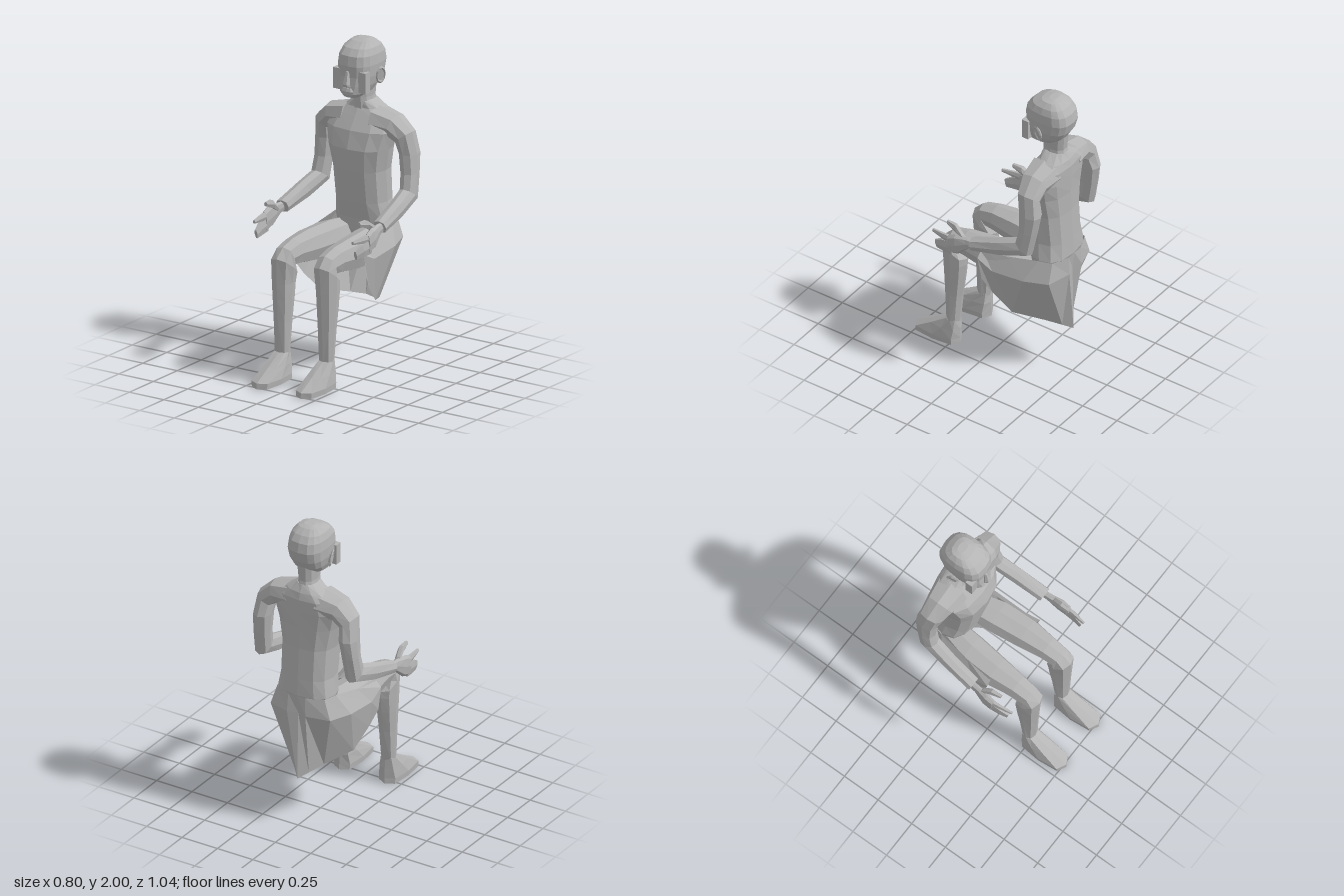
import * as THREE from 'three';

const rad = THREE.MathUtils.degToRad;
const skin = new THREE.MeshStandardMaterial({ color: 0xb4b4b4, side: THREE.DoubleSide });
skin.name = 'plain grey';

function part(name, geometry) {
  const flat = geometry.index ? geometry.toNonIndexed() : geometry;
  flat.computeVertexNormals();
  const mesh = new THREE.Mesh(flat, skin);
  mesh.name = name;
  return mesh;
}

// Joins rows of points into a faceted surface; closed rows form a capped solid
function sheet(rows, closed) {
  const n = rows[0].length, tris = [];
  for (let i = 0; i < rows.length - 1; i++) {
    for (let j = 0; j < (closed ? n : n - 1); j++) {
      const k = (j + 1) % n;
      const a = rows[i][j], b = rows[i][k], c = rows[i + 1][k], d = rows[i + 1][j];
      tris.push([a, b, c], [a, c, d]);
    }
  }
  if (closed) {
    const first = rows[0], last = rows[rows.length - 1];
    for (let j = 1; j < n - 1; j++) {
      tris.push([first[0], first[j + 1], first[j]], [last[0], last[j], last[j + 1]]);
    }
    // Turn the solid outward if its signed volume is negative
    const volume = tris.reduce((s, [a, b, c]) => s + a.dot(b.clone().cross(c)), 0);
    if (volume < 0) tris.forEach(t => t.reverse());
  }
  return new THREE.BufferGeometry().setFromPoints(tris.flat());
}

// Rings: [x, y, z, radius u, radius v, roll of u in xy, pitch of v in yz]
function limb(rings, n = 8, power = 0.85) {
  const soft = v => Math.sign(v) * Math.abs(v) ** power;
  return sheet(rings.map(([x, y, z, ru, rv, s = 0, t = 0]) => {
    const u = new THREE.Vector3(Math.cos(rad(s)), Math.sin(rad(s)), 0);
    const v = new THREE.Vector3(0, Math.sin(rad(t)), Math.cos(rad(t)));
    return Array.from({ length: n }, (_, j) => {
      const a = (j / n) * Math.PI * 2;
      return new THREE.Vector3(x, y, z)
        .addScaledVector(u, ru * soft(Math.cos(a)))
        .addScaledVector(v, rv * soft(Math.sin(a)));
    });
  }), true);
}

// Level rings on the centre line: [y, half width, front z, back z]
const body = (rings, n, power) =>
  limb(rings.map(([y, w, f, b]) => [0, y, (f + b) / 2, w, (f - b) / 2]), n, power);

// Palm, thumb, forefinger and the closed lower fingers
function buildHand() {
  const hand = new THREE.Group();
  hand.name = 'hand';
  hand.add(part('palm', limb([
    [0.358, 0.965, -0.04, 0.02, 0.03, 0, 75],
    [0.362, 0.958, 0.01, 0.021, 0.038, 0, 75],
    [0.372, 0.925, 0.08, 0.026, 0.068, 0, 80],
    [0.374, 0.905, 0.135, 0.022, 0.065, 0, 85],
  ])));
  hand.add(part('thumb', limb([
    [0.358, 0.968, 0.03, 0.02, 0.038, 0, 60],
    [0.343, 1.012, 0.095, 0.021, 0.035, 0, 70],
    [0.338, 1.031, 0.17, 0.012, 0.014, 0, 90],
  ], 6)));
  hand.add(part('forefinger', limb([
    [0.374, 0.94, 0.11, 0.018, 0.03, 0, 90],
    [0.368, 0.94, 0.18, 0.014, 0.022, 0, 90],
    [0.357, 0.942, 0.264, 0.009, 0.011, 0, 90],
  ], 6)));
  hand.add(part('lowerFingers', limb([
    [0.374, 0.888, 0.11, 0.02, 0.052, 0, 85],
    [0.37, 0.875, 0.18, 0.017, 0.046, 0, 75],
    [0.36, 0.857, 0.238, 0.011, 0.03, 0, 75],
  ], 6)));
  return hand;
}

// Parts that exist once on each side
function buildSide() {
  const side = new THREE.Group();
  side.add(part('arm', limb([
    [0.1, 1.5, -0.375, 0.09, 0.112, 90],
    [0.22, 1.485, -0.375, 0.072, 0.09, 72],
    [0.288, 1.425, -0.385, 0.063, 0.074, 38],
    [0.303, 1.32, -0.408, 0.055, 0.072],
    [0.312, 1.2, -0.4, 0.052, 0.06],
    [0.32, 1.075, -0.375, 0.05, 0.068, 0, 36],
    [0.337, 1.02, -0.22, 0.048, 0.056, 0, 70],
    [0.353, 0.965, -0.025, 0.046, 0.04, 0, 75],
  ])));
  side.add(buildHand());
  side.add(part('leg', limb([
    [0.1, 0.78, -0.4, 0.08, 0.08, 0, 90],
    [0.135, 0.766, -0.2, 0.106, 0.103, 0, 90],
    [0.15, 0.764, 0, 0.096, 0.1, 0, 90],
    [0.151, 0.768, 0.15, 0.075, 0.082, 0, 85],
    [0.152, 0.757, 0.232, 0.067, 0.07, 0, 67],
    [0.155, 0.7, 0.24, 0.073, 0.1, 0, 37],
    [0.16, 0.6, 0.237, 0.064, 0.076],
    [0.16, 0.5, 0.239, 0.06, 0.068],
    [0.16, 0.36, 0.245, 0.053, 0.055],
    [0.16, 0.14, 0.252, 0.046, 0.038],
  ])));
  side.add(part('foot', limb([
    [0.16, 0, 0.362, 0.068, 0.16],
    [0.16, 0.035, 0.362, 0.071, 0.158],
    [0.16, 0.1, 0.306, 0.06, 0.1],
    [0.16, 0.17, 0.252, 0.046, 0.038],
  ], 8, 0.6)));
  // Ear: a thin shell with a raised rim, tilted slightly away from the skull
  const ear = new THREE.Group();
  ear.name = 'ear';
  ear.add(
    part('earShell', new THREE.CylinderGeometry(0.03, 0.022, 0.014, 8).rotateZ(-Math.PI / 2)),
    part('earRim', new THREE.TorusGeometry(0.03, 0.007, 4, 10).rotateY(Math.PI / 2).translate(0.006, 0, 0)),
  );
  ear.scale.set(1, 1.6, 1);
  ear.position.set(0.132, 1.795, -0.347);
  ear.rotation.set(0.15, -0.35, -0.12);
  side.add(ear);
  side.add(part('eyeBlock', new THREE.BoxGeometry(0.056, 0.13, 0.047).translate(0.09, 1.765, -0.237)));
  return side;
}

export function createModel() {
  const model = new THREE.Group();
  model.name = 'seatedFigure';

  model.add(part('torso', body([
    [0.73, 0.06, -0.29, -0.46], [0.82, 0.17, -0.27, -0.49], [0.89, 0.188, -0.262, -0.512],
    [1.0, 0.17, -0.237, -0.505], [1.2, 0.173, -0.208, -0.492], [1.34, 0.2, -0.19, -0.49],
    [1.45, 0.23, -0.222, -0.492], [1.53, 0.195, -0.275, -0.492], [1.575, 0.13, -0.305, -0.48],
    [1.62, 0.06, -0.31, -0.455],
  ], 12, 0.8)));
  model.add(part('neck', body([
    [1.56, 0.065, -0.3, -0.47], [1.64, 0.055, -0.3, -0.45], [1.75, 0.062, -0.3, -0.46],
  ], 10)));
  model.add(part('head', body([
    [1.665, 0.05, -0.2, -0.32], [1.69, 0.08, -0.187, -0.4], [1.735, 0.1, -0.192, -0.455],
    [1.79, 0.113, -0.2, -0.487], [1.86, 0.118, -0.194, -0.506], [1.92, 0.113, -0.205, -0.494],
    [1.96, 0.098, -0.24, -0.465], [1.99, 0.07, -0.3, -0.425], [2.0, 0.035, -0.345, -0.395],
  ], 16, 0.72)));
  // Wedge nose and slightly raised mouth
  model.add(part('nose', limb([
    [0, 1.735, -0.19, 0.026, 0.018], [0, 1.752, -0.187, 0.024, 0.023], [0, 1.83, -0.198, 0.01, 0.01],
  ], 6)));
  model.add(part('mouth', limb([
    [0, 1.685, -0.195, 0.035, 0.012], [0, 1.706, -0.193, 0.045, 0.014], [0, 1.726, -0.197, 0.03, 0.01],
  ], 8)));

  // Open skirt from the thighs around the hips: waist, hip and hem, with a narrow back panel
  const halves = [
    [[0.215, 0.83, 0.008], [0.212, 0.845, -0.18], [0.193, 0.89, -0.386], [0.167, 0.89, -0.47], [0.06, 0.89, -0.516], [0, 0.89, -0.514]],
    [[0.262, 0.78, 0.008], [0.264, 0.73, -0.1], [0.26, 0.75, -0.32], [0.21, 0.76, -0.475], [0.065, 0.77, -0.522], [0, 0.77, -0.5]],
    [[0.26, 0.64, -0.02], [0.235, 0.55, -0.08], [0.2, 0.43, -0.2], [0.1, 0.383, -0.37], [0.05, 0.355, -0.46], [0, 0.32, -0.508]],
  ];
  const rows = halves.map(half => [
    ...half.map(([x, y, z]) => new THREE.Vector3(x, y, z)),
    ...half.slice(0, -1).reverse().map(([x, y, z]) => new THREE.Vector3(-x, y, z)),
  ]);
  model.add(part('skirt', sheet(rows, false)));

  const left = buildSide();
  left.name = 'leftSide';
  const right = buildSide();
  right.name = 'rightSide';
  right.scale.x = -1;
  model.add(left, right);
  return model;
}
